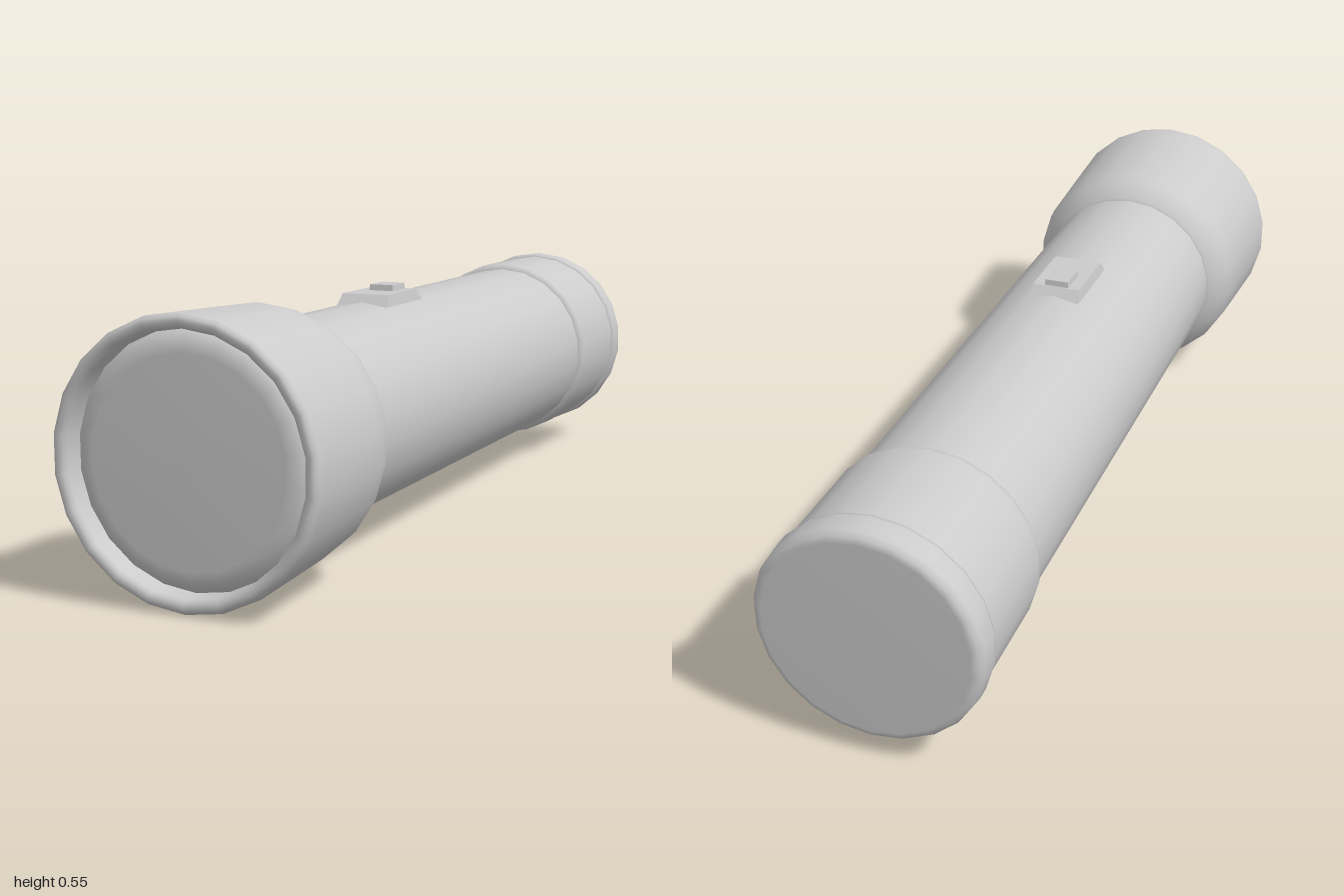
import * as THREE from 'three';

const SIDES = 22;
const AXIS_Y = 0.276;

export function createModel() {
  const group = new THREE.Group();
  const material = new THREE.MeshStandardMaterial({ color: 0xcccccc });

  const add = (name, geometry) => {
    const mesh = new THREE.Mesh(geometry, material);
    mesh.name = name;
    group.add(mesh);
  };

  // Revolves [radius, z] pairs about the long axis, running back to front
  const turned = (name, profile) => {
    const points = profile.map(([r, z]) => new THREE.Vector2(r, z));
    const geometry = new THREE.LatheGeometry(points, SIDES);
    geometry.rotateX(Math.PI / 2).translate(0, AXIS_Y, 0);
    add(name, geometry);
  };

  // Box whose top face is drawn in to a smaller size
  const taperedBlock = (name, width, depth, topWidth, topDepth, y0, y1, z) => {
    const geometry = new THREE.BoxGeometry(width, y1 - y0, depth);
    const p = geometry.attributes.position;
    for (let i = 0; i < p.count; i++) {
      if (p.getY(i) > 0) {
        p.setX(i, Math.sign(p.getX(i)) * topWidth / 2);
        p.setZ(i, Math.sign(p.getZ(i)) * topDepth / 2);
      }
    }
    geometry.computeVertexNormals();
    geometry.translate(0, (y0 + y1) / 2, z);
    add(name, geometry);
  };

  // Barrel
  turned('barrel', [[0.214, -0.67], [0.214, 0.62]]);

  // Tail cap: rounded end, raised lip and collar
  turned('tailCap', [
    [0, -1], [0.212, -1], [0.225, -0.996], [0.233, -0.985],
    [0.235, -0.97], [0.235, -0.94], [0.233, -0.931], [0.227, -0.929],
  ]);
  turned('tailCollar', [
    [0.228, -0.932], [0.228, -0.69], [0.226, -0.678], [0.221, -0.67], [0.213, -0.667],
  ]);

  // Head: flared shell ending in a rounded rim that turns inward
  turned('head', [
    [0.213, 0.617], [0.22, 0.62], [0.238, 0.638], [0.252, 0.66],
    [0.26, 0.685], [0.264, 0.72], [0.275, 0.98],
  ]);
  turned('rim', [
    [0.275, 0.98], [0.274, 0.99], [0.268, 0.998], [0.26, 1],
    [0.251, 0.997], [0.246, 0.989], [0.244, 0.975], [0.244, 0.95],
  ]);

  // Lens: flat face with a softly rounded edge
  turned('lens', [
    [0.244, 0.95], [0.236, 0.961], [0.222, 0.97], [0.2, 0.975], [0, 0.976],
  ]);

  // Switch plate and button on top of the barrel
  taperedBlock('switchPlate', 0.12, 0.2, 0.11, 0.155, 0.478, 0.507, 0.13);
  taperedBlock('switchButton', 0.058, 0.072, 0.054, 0.066, 0.5, 0.52, 0.09);

  return group;
}
